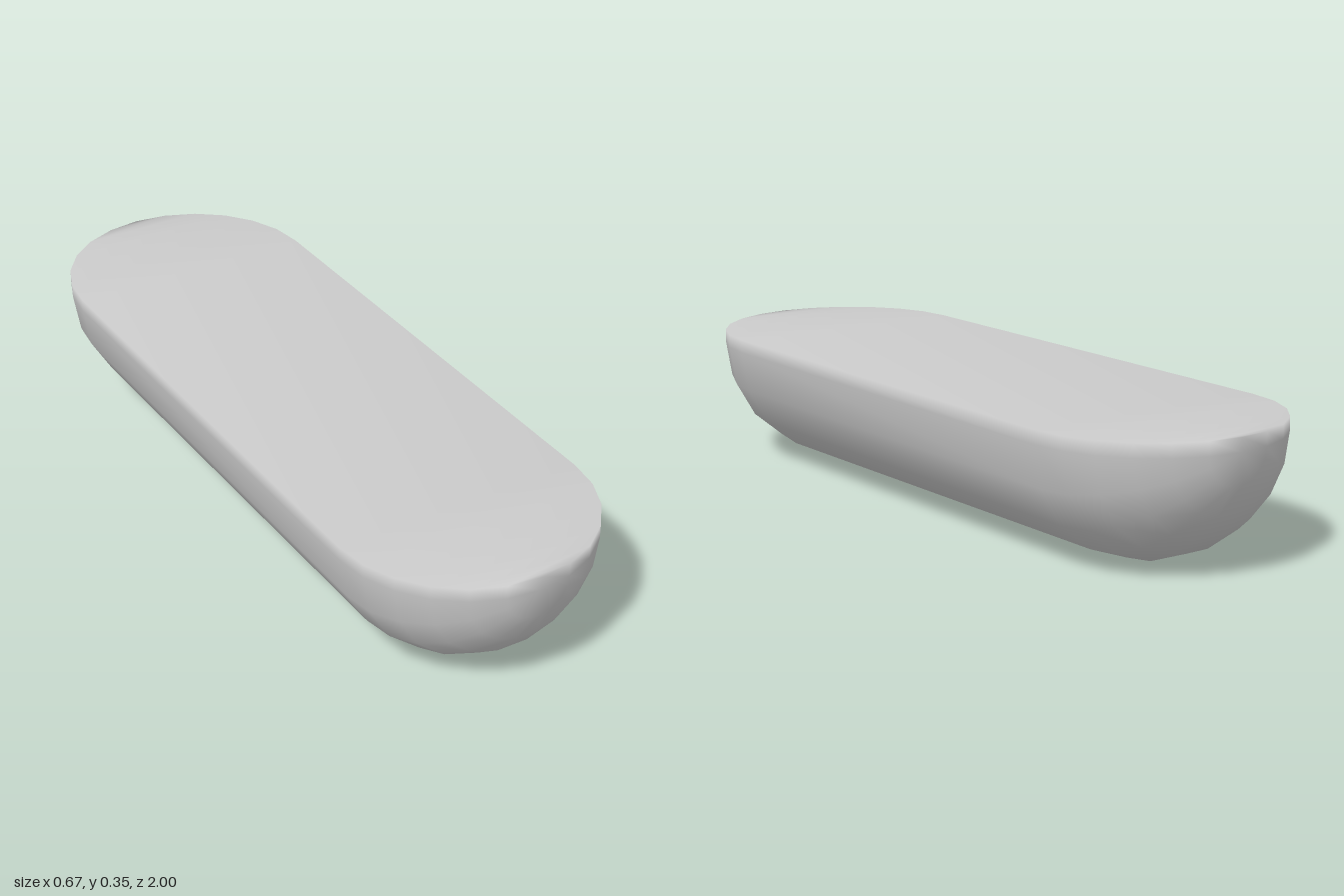
import * as THREE from 'three';
import { mergeVertices } from 'three/addons/utils/BufferGeometryUtils.js';

const R = 0.333;      // half width, and length of each rounded end
const MID = 0.313;    // height of the widest line
const DEPTH = 0.318;  // vertical radius of the underside
const TOP = 0.348;    // height of the flat top

// One closed cross-section: left rim, rounded underside, right rim
function section(z, s) {
  const pts = [[-R * s, TOP, z]];
  for (let i = 0; i <= 9; i++) {
    const a = Math.PI + (i * Math.PI) / 9;
    pts.push([R * s * Math.cos(a), MID + DEPTH * s * Math.sin(a), z]);
  }
  pts.push([R * s, TOP, z]);
  return pts;
}

function hullGeometry() {
  // Sections from the back tip to the front tip, with a long straight middle
  const sections = [];
  for (const side of [-1, 1]) {
    for (let k = 0; k <= 6; k++) {
      const a = ((side < 0 ? k : 6 - k) * Math.PI) / 12;
      const s = a === 0 ? 0 : Math.sin(a);
      sections.push(section(side * (1 - R + R * Math.cos(a)), s));
    }
  }
  const n = sections[0].length;
  const index = [];
  for (let j = 0; j < sections.length - 1; j++) {
    for (let i = 0; i < n; i++) {
      const a = j * n + i, b = j * n + ((i + 1) % n);
      // Skip the collapsed triangles at the tips only where they vanish
      index.push(a, b, b + n, a, b + n, a + n);
    }
  }
  const geo = new THREE.BufferGeometry();
  geo.setAttribute('position', new THREE.Float32BufferAttribute(sections.flat(2), 3));
  geo.setIndex(index);
  // Weld the tips so the whole body shades smoothly
  const welded = mergeVertices(geo, 1e-4);
  const id = welded.index.array, keep = [];
  for (let t = 0; t < id.length; t += 3) {
    const [a, b, c] = [id[t], id[t + 1], id[t + 2]];
    if (a !== b && b !== c && c !== a) keep.push(a, b, c);
  }
  welded.setIndex(keep);
  welded.computeVertexNormals();
  return welded;
}

export function createModel() {
  const group = new THREE.Group();
  group.name = 'halfCapsule';
  const body = new THREE.Mesh(hullGeometry(), new THREE.MeshStandardMaterial({ color: 0xcccccc }));
  body.name = 'body';
  group.add(body);
  return group;
}
